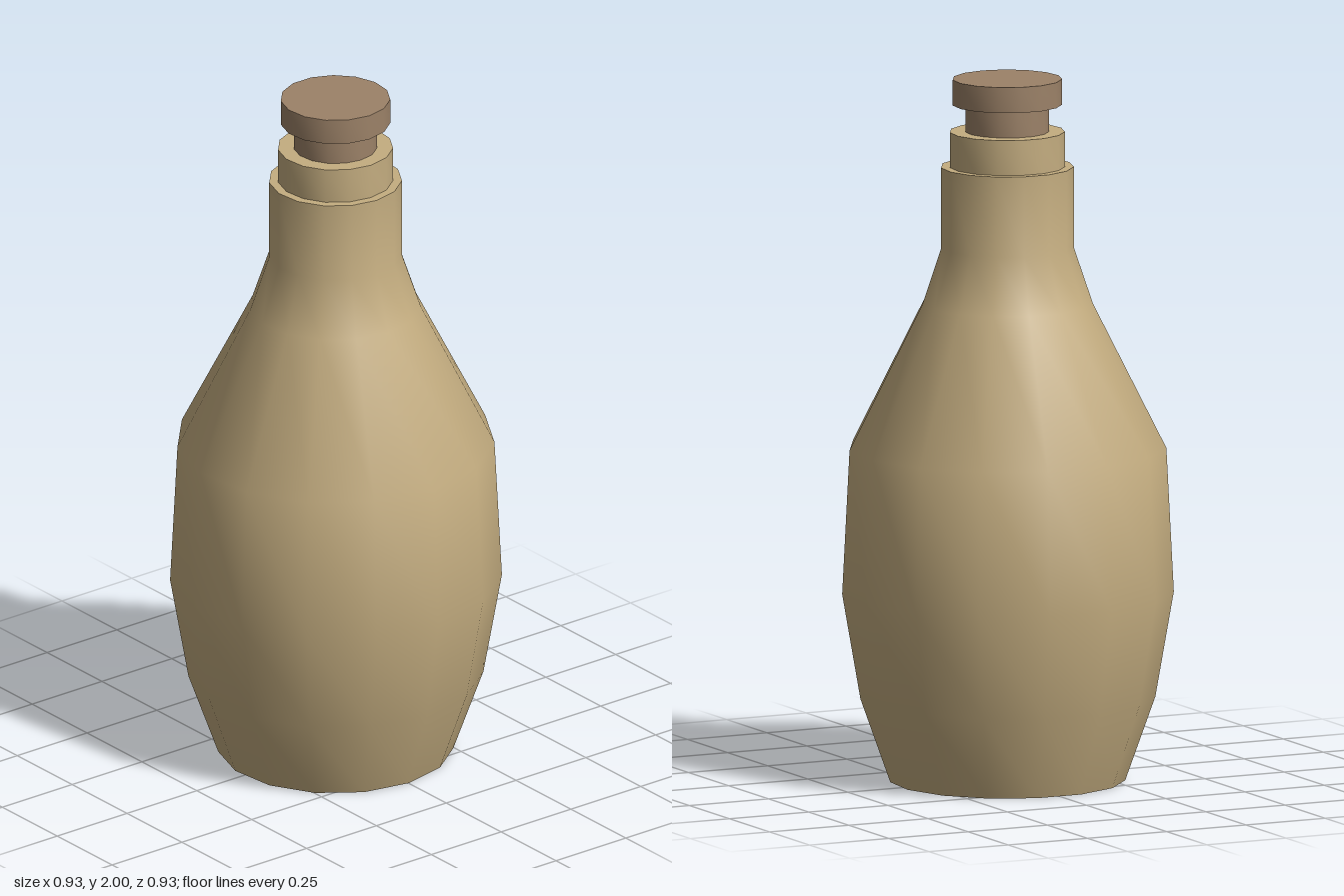
import * as THREE from 'three';
import { toCreasedNormals } from 'three/addons/utils/BufferGeometryUtils.js';

const SIDES = 15;

// Turn a bottom-to-top [radius, height] profile, with one corner pointing to +x
function turned(name, profile, material) {
  const points = profile.map(([r, y]) => new THREE.Vector2(r, y));
  const lathe = new THREE.LatheGeometry(points, SIDES, Math.PI / 2, Math.PI * 2);
  const mesh = new THREE.Mesh(toCreasedNormals(lathe, 0.8), material);
  mesh.name = name;
  return mesh;
}

export function createModel() {
  const clay = new THREE.MeshStandardMaterial({ name: 'tan clay', color: 0xc4ad80 });
  const cork = new THREE.MeshStandardMaterial({ name: 'brown cork', color: 0x9c8268 });

  const bottle = new THREE.Group();
  bottle.name = 'bottle';

  // Swelling body, shoulder and neck, stepping in to the lip
  bottle.add(turned('body', [
    [0, 0], [0.333, 0], [0.418, 0.24], [0.47, 0.54], [0.449, 0.95],
    [0.242, 1.36], [0.188, 1.52], [0.188, 1.75], [0.163, 1.75],
  ], clay));
  bottle.add(turned('lip', [[0.163, 1.75], [0.163, 1.85], [0, 1.85]], clay));

  // Stopper: narrow stem under a wider cap
  bottle.add(turned('stopper', [
    [0.118, 1.85], [0.118, 1.927], [0.155, 1.927], [0.155, 2], [0, 2],
  ], cork));

  // An odd number of sides reaches further on +x, so shift to centre it
  bottle.position.x = -0.005;
  const model = new THREE.Group();
  model.name = 'stopperedBottle';
  model.add(bottle);
  return model;
}
